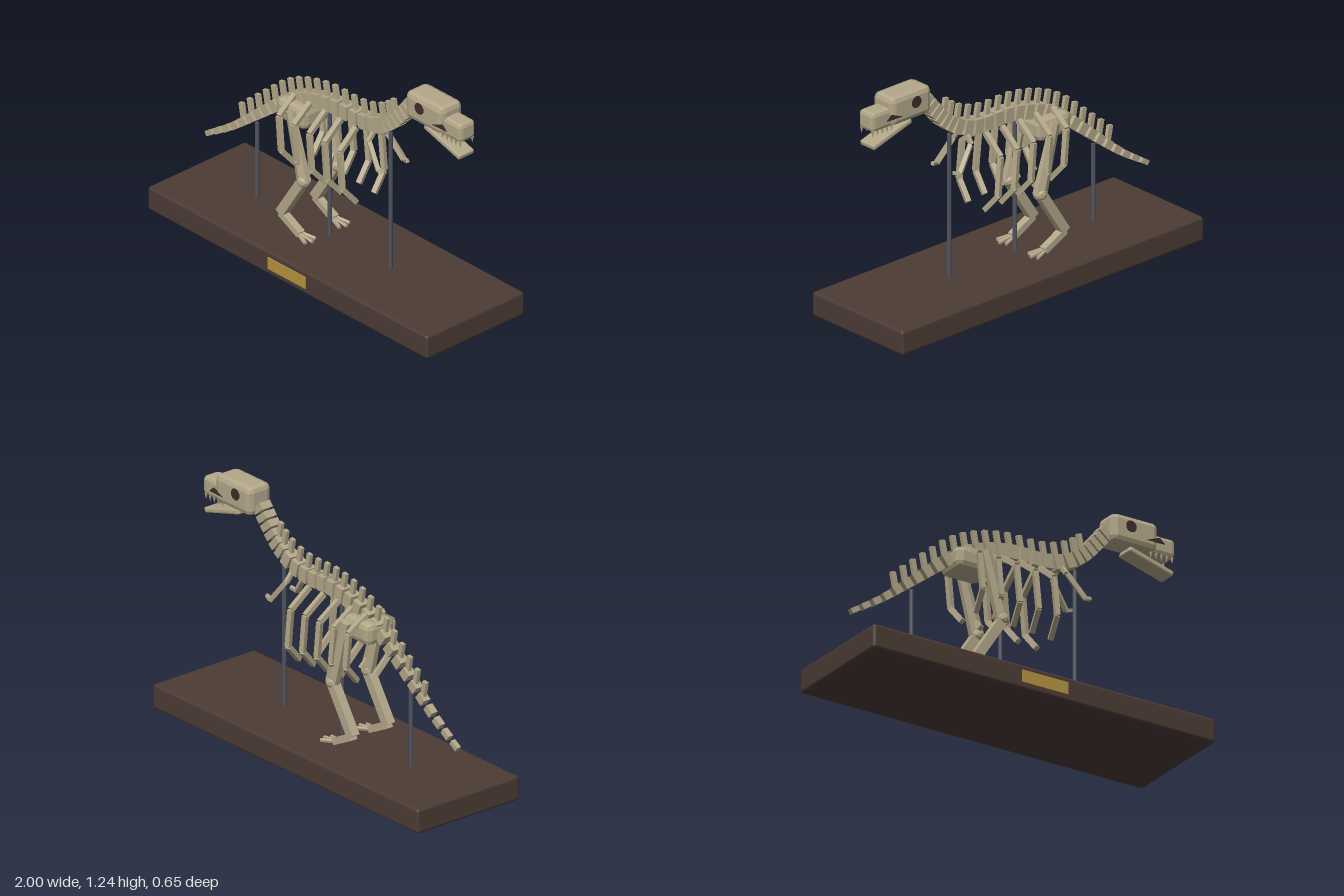
import * as THREE from 'three';
import { RoundedBoxGeometry } from 'three/addons/geometries/RoundedBoxGeometry.js';

const mat = (name, color) => Object.assign(new THREE.MeshStandardMaterial({ color }), { name });
const V = (x, y, z = 0) => new THREE.Vector3(x, y, z);
const UP = V(0, 1, 0);

// Faceted normals for low-poly parts
function flat(geo) {
  const g = geo.index ? geo.toNonIndexed() : geo;
  g.computeVertexNormals();
  return g;
}

export function createModel() {
  const bone = mat('bone', 0xb3a789);
  const wood = mat('dark wood', 0x4c3b35);
  const brass = mat('brass', 0xb59340);
  const steel = mat('steel', 0x50545f);
  const dark = mat('dark socket', 0x3c2d2a);
  const model = new THREE.Group();
  model.name = 'mountedSkeleton';

  function add(name, geo, material, pos, parent = model) {
    const m = new THREE.Mesh(geo, material);
    m.name = name;
    m.position.copy(pos);
    parent.add(m);
    return m;
  }
  // Straight bone between two points: w across x, d across z, or a prism with given sides
  function bar(name, a, b, w, d, parent, sides = 4, taper = 1) {
    const dir = b.clone().sub(a), len = dir.length();
    const geo = sides === 4 ? new THREE.BoxGeometry(w, len, d)
      : flat(new THREE.CylinderGeometry(w / 2, w / 2 * taper, len, sides).scale(1, 1, d / w));
    const m = add(name, geo, bone, a.clone().add(b).multiplyScalar(0.5), parent);
    m.quaternion.setFromUnitVectors(UP, dir.normalize());
    return m;
  }
  function group(name) {
    const g = new THREE.Group();
    g.name = name;
    model.add(g);
    return g;
  }

  // Display base, plaque and support posts
  add('base', new RoundedBoxGeometry(2, 0.13, 0.65, 2, 0.016), wood, V(0, 0.065));
  add('plaque', new THREE.BoxGeometry(0.27, 0.065, 0.008), brass, V(0, 0.068, 0.326));
  for (const [x, top] of [[-0.565, 0.545], [-0.045, 0.86], [0.39, 0.895]])
    add('supportPost', new THREE.CylinderGeometry(0.011, 0.011, top - 0.12, 10), steel, V(x, (top + 0.12) / 2));

  // Vertebrae along the spine curve, with upright spines
  const path = new THREE.CatmullRomCurve3([
    [-0.93, 0.33], [-0.75, 0.445], [-0.59, 0.57], [-0.46, 0.675], [-0.33, 0.775], [-0.18, 0.845], [0, 0.885],
    [0.2, 0.888], [0.32, 0.915], [0.42, 0.975], [0.5, 1.06], [0.57, 1.145]].map(p => V(...p)));
  const total = path.getLength();
  const spine = group('spine');
  for (const [from, to, count] of [[0, 0.42, 10], [0.42, 0.84, 11], [0.84, 1, 6]]) {
    for (let i = 0; i < count; i++) {
      const u = from + (to - from) * (i + 0.5) / count;
      const p = path.getPointAt(u), t = path.getTangentAt(u);
      const k = Math.min(1, u / 0.48);
      const len = total * (to - from) / count * (u < 0.42 ? 0.7 : 0.78);
      const high = 0.024 + 0.052 * k, wide = 0.024 + 0.042 * k;
      add('vertebra', new THREE.BoxGeometry(len, high, wide), bone, p, spine).rotation.z = Math.atan2(t.y, t.x);
      if (u > 0.18 && u < 0.9) {
        const rise = high / 2 + 0.03;
        add('neuralSpine', new THREE.BoxGeometry(0.027, 0.085, 0.02), bone,
          V(p.x - 0.012, p.y + rise, 0), spine).rotation.z = 0.19;
      }
    }
  }

  // Skull: cranium, snout, hinged jaw
  const skull = group('skull');
  add('cranium', flat(new RoundedBoxGeometry(0.265, 0.15, 0.144, 1, 0.028)), bone, V(0.7, 1.16), skull);
  add('snout', flat(new RoundedBoxGeometry(0.16, 0.1, 0.104, 1, 0.02)), bone, V(0.865, 1.132), skull);
  add('lowerJaw', flat(new RoundedBoxGeometry(0.265, 0.028, 0.1, 1, 0.008)), bone, V(0.808, 1.035), skull).rotation.z = -0.28;

  // Dark eye socket and nostril opening on each side, teeth below the snout
  const tri = new THREE.Shape([[0.765, 1.128], [0.868, 1.13], [0.838, 1.157]].map(p => new THREE.Vector2(...p)));
  for (const s of [1, -1]) {
    const eye = add('eyeSocket', new THREE.CylinderGeometry(0.031, 0.031, 0.006, 10), dark, V(0.673, 1.176, s * 0.072), skull);
    eye.rotation.x = Math.PI / 2;
    add('nostrilOpening', new THREE.ExtrudeGeometry(tri, { depth: 0.006, bevelEnabled: false }), dark,
      V(0, 0, s * 0.072 - 0.003), skull);
    for (let i = 0; i < 5; i++) {
      const tooth = add('tooth', flat(new THREE.ConeGeometry(0.009, 0.035, 5)), bone, V(0.808 + i * 0.031, 1.07, s * 0.04), skull);
      tooth.rotation.x = Math.PI;
    }
  }

  // Pelvis
  add('pelvis', flat(new RoundedBoxGeometry(0.21, 0.115, 0.176, 1, 0.03)), bone, V(-0.24, 0.762));

  // Mirrored ribs, legs and arms
  for (const s of [1, -1]) {
    const side = s > 0 ? 'left' : 'right';
    const ribs = group(side + 'Ribs');
    for (let i = 0; i < 5; i++) {
      const x = -0.265 + i * 0.109, drop = i * 0.008;
      const pts = [V(x, 0.84, s * 0.025), V(x + 0.006, 0.765 - drop / 2, s * 0.138),
        V(x + 0.024, 0.58 - drop, s * 0.14), V(x + 0.037, 0.485 - drop, s * 0.06)];
      for (let j = 0; j < 3; j++) bar('rib', pts[j], pts[j + 1], 0.026, 0.026, ribs);
    }

    const leg = group(side + 'Leg'), z = s * 0.113;
    const hip = V(-0.205, 0.805, z), knee = V(-0.108, 0.458, z), ankle = V(-0.265, 0.215, z), heel = V(-0.13, 0.147, z);
    bar('femur', hip, knee, 0.085, 0.06, leg, 6, 0.7);
    add('kneeJoint', flat(new THREE.IcosahedronGeometry(0.037, 1)), bone, knee, leg);
    bar('shin', knee, ankle, 0.05, 0.046, leg);
    bar('metatarsal', ankle, heel, 0.034, 0.04, leg);
    for (const k of [-1, 0, 1])
      bar('toe', V(-0.145, 0.15, z + k * 0.008), V(-0.045 - Math.abs(k) * 0.015, 0.138, z + k * 0.034), 0.02, 0.02, leg, 5);

    const arm = group(side + 'Arm');
    const elbow = V(0.395, 0.712, s * 0.085);
    bar('upperArm', V(0.305, 0.83, s * 0.062), elbow, 0.024, 0.022, arm);
    bar('forearm', elbow, V(0.432, 0.722, s * 0.075), 0.017, 0.017, arm);
    bar('shoulderBlade', V(0.3, 0.83, s * 0.062), V(0.3, 0.87, s * 0.03), 0.02, 0.02, arm);
  }
  return model;
}
